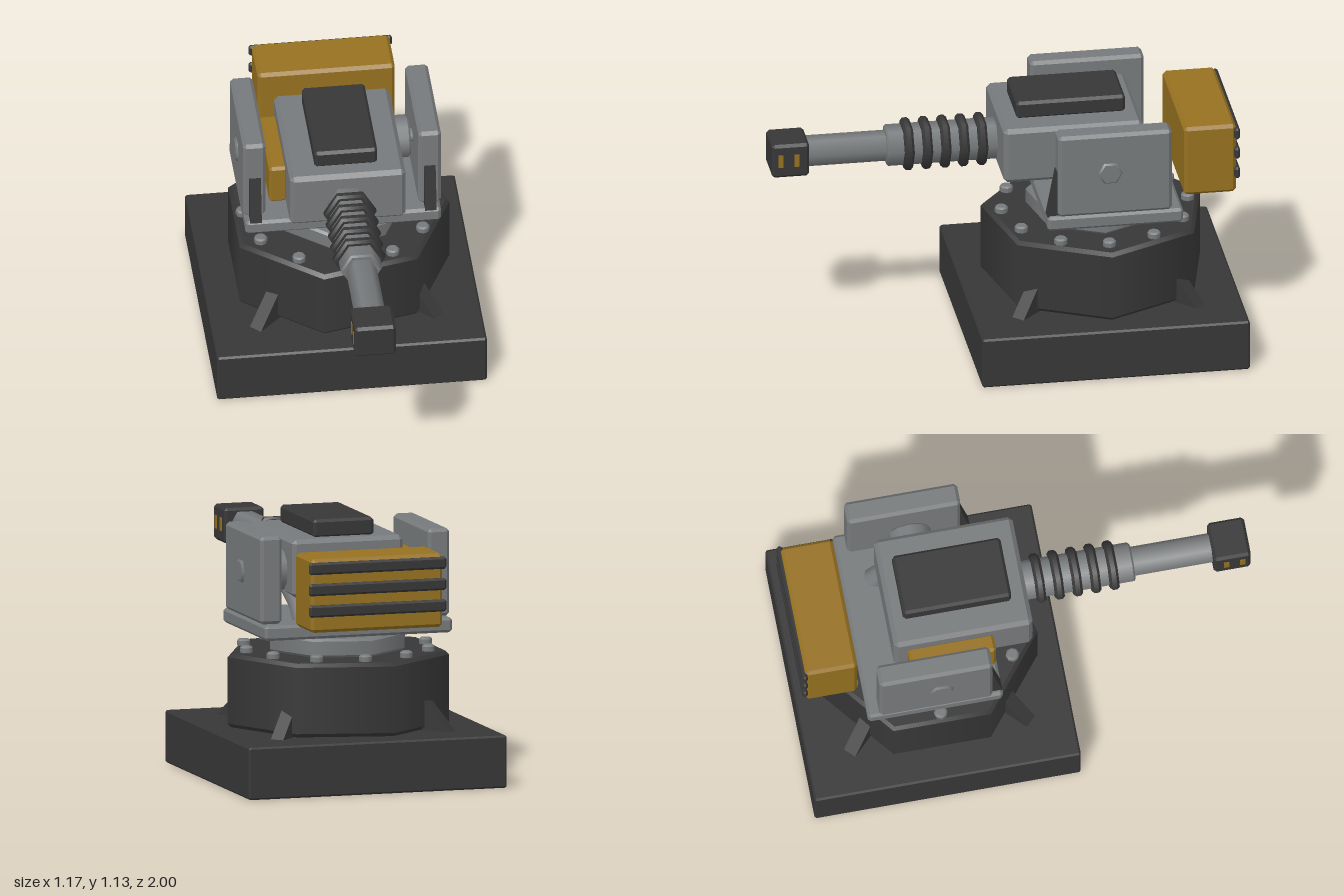
import * as THREE from 'three';
import { ConvexGeometry } from 'three/addons/geometries/ConvexGeometry.js';

const mat = (name, color) => new THREE.MeshStandardMaterial({ name, color });

export function createModel() {
  const steel = mat('steelGrey', 0x777a7c);
  const dark = mat('darkMetal', 0x373737);
  const yellow = mat('ochreYellow', 0x967120);
  const model = new THREE.Group();
  model.name = 'turret';
  const CZ = -0.415; // turning axis of the base
  const AY = 0.907; // height of the barrel axis

  const add = (name, geo, material, x = 0, y = 0, z = 0) => {
    const mesh = new THREE.Mesh(geo, material);
    mesh.name = name;
    mesh.position.set(x, y, z);
    model.add(mesh);
    return mesh;
  };

  // Box with chamfered edges, given by its minimum and maximum corners
  const box = (name, material, [x0, y0, z0], [x1, y1, z1], b = 0.012) => {
    const h = [(x1 - x0) / 2, (y1 - y0) / 2, (z1 - z0) / 2];
    const pts = [];
    for (const sx of [-1, 1]) for (const sy of [-1, 1]) for (const sz of [-1, 1])
      for (let k = 0; k < 3; k++) {
        const c = h.map((v, i) => (i === k ? v : v - b));
        pts.push(new THREE.Vector3(sx * c[0], sy * c[1], sz * c[2]));
      }
    return add(name, new ConvexGeometry(pts), material, (x0 + x1) / 2, (y0 + y1) / 2, (z0 + z1) / 2);
  };

  // Chamfered prism standing on y = 0, smooth around, crisp along its profile
  const prism = (r, h, sides, b = 0.012, start = Math.PI / 2) => {
    const p = [[0, 0], [r - b, 0], [r, b], [r, h - b], [r - b, h], [0, h]];
    const pts = [];
    p.forEach(([x, y], i) => {
      pts.push(new THREE.Vector2(x, y));
      if (i > 0 && i < p.length - 1) pts.push(new THREE.Vector2(x, y));
    });
    return new THREE.LatheGeometry(pts, sides, start);
  };

  // Side profile in (out, up), extruded and centred across its width
  const wedge = (points, width) => {
    const shape = new THREE.Shape(points.map(([x, y]) => new THREE.Vector2(x, y)));
    return new THREE.ExtrudeGeometry(shape, { depth: width, bevelEnabled: false }).translate(0, 0, -width / 2);
  };

  // Base block, drum and bearing ring
  box('baseBlock', dark, [-0.583, 0, -0.998], [0.583, 0.228, 0.165], 0.008);
  add('drum', prism(0.49, 0.32, 7, 0.016), dark, 0, 0.23, CZ);
  add('bearingRing', prism(0.297, 0.08, 7, 0.01), steel, 0, 0.55, CZ);

  // Rim bolts
  const boltGeo = prism(0.029, 0.034, 8, 0.007);
  for (let i = 0; i < 12; i++) {
    const a = (i * Math.PI) / 6;
    add('rimBolt', boltGeo, steel, 0.405 * Math.cos(a), 0.546, CZ + 0.405 * Math.sin(a));
  }

  // Diagonal gussets
  const gussetGeo = wedge([[0.38, 0.226], [0.562, 0.226], [0.43, 0.37], [0.38, 0.37]], 0.06);
  for (let i = 0; i < 4; i++)
    add('gusset', gussetGeo, dark, 0, 0, CZ).rotation.y = Math.PI / 4 + (i * Math.PI) / 2;

  // Turning plate
  box('turningPlate', steel, [-0.423, 0.645, -0.735], [0.423, 0.71, -0.145]);

  // Side arms with pivot caps and front braces
  const capGeo = prism(0.054, 0.025, 6, 0.008, 0).rotateZ(-Math.PI / 2);
  const braceGeo = wedge([[-0.21, 0.705], [-0.145, 0.705], [-0.185, 0.915], [-0.21, 0.915]], 0.05)
    .rotateY(-Math.PI / 2);
  for (const s of [-1, 1]) {
    const [a, b] = s > 0 ? [0.33, 0.428] : [-0.428, -0.33];
    box('sideArm', steel, [a, 0.71, -0.685], [b, 1.09, -0.19], 0.014);
    const cap = add('pivotCap', capGeo, steel, s * 0.414, AY, CZ);
    if (s < 0) cap.rotation.y = Math.PI;
    add('armBrace', braceGeo, dark, s * 0.378, 0, 0);
  }

  // Gun housing, cover, trunnion and shaft
  box('gunHousing', steel, [-0.25, 0.803, -0.588], [0.25, 1.055, 0.018], 0.018);
  box('topCover', dark, [-0.136, 1.05, -0.528], [0.136, 1.13, -0.055], 0.012);
  add('trunnion', prism(0.093, 0.09, 12, 0.008, 0).rotateZ(-Math.PI / 2), steel, 0.225, AY, -0.42);
  add('pivotShaft', new THREE.CylinderGeometry(0.03, 0.03, 0.68, 10).rotateZ(Math.PI / 2), steel, 0, AY, -0.425);

  // Feed box on the right flank and the hose below the housing
  box('feedBox', yellow, [-0.32, 0.803, -0.53], [-0.24, 0.987, -0.155]);
  const hose = new THREE.CatmullRomCurve3([
    new THREE.Vector3(0.205, 0.69, -0.6), new THREE.Vector3(0.205, 0.77, -0.53),
    new THREE.Vector3(0.205, 0.86, -0.36)]);
  add('hose', new THREE.TubeGeometry(hose, 8, 0.048, 8), steel);

  // Rear counterweight with three bars
  box('rearBox', yellow, [-0.297, 0.71, -0.985], [0.297, 1.03, -0.758], 0.014);
  for (const y of [0.805, 0.898, 0.99])
    box('rearBar', dark, [-0.31, y - 0.026, -1], [0.31, y + 0.026, -0.976], 0.009);

  // Barrel, sleeve and cooling rings
  const along = (name, material, r, z0, z1, b) =>
    add(name, prism(r, z1 - z0, 6, b).rotateX(Math.PI / 2), material, 0, AY, z0);
  along('barrelSleeve', steel, 0.09, 0, 0.497, 0.008);
  along('barrel', steel, 0.067, 0.45, 0.86, 0.004);
  for (let i = 0; i < 5; i++) {
    const z = 0.083 + i * 0.08;
    along('coolingRing', dark, 0.114, z - 0.021, z + 0.021, 0.011);
  }

  // Muzzle block with painted side slots
  box('muzzle', dark, [-0.089, 0.827, 0.838], [0.089, 0.982, 1], 0.012);
  const slotGeo = new THREE.BoxGeometry(0.006, 0.058, 0.022);
  for (const s of [-1, 1]) for (const z of [0.893, 0.963])
    add('muzzleSlot', slotGeo, yellow, s * 0.089, AY, z);

  return model;
}
